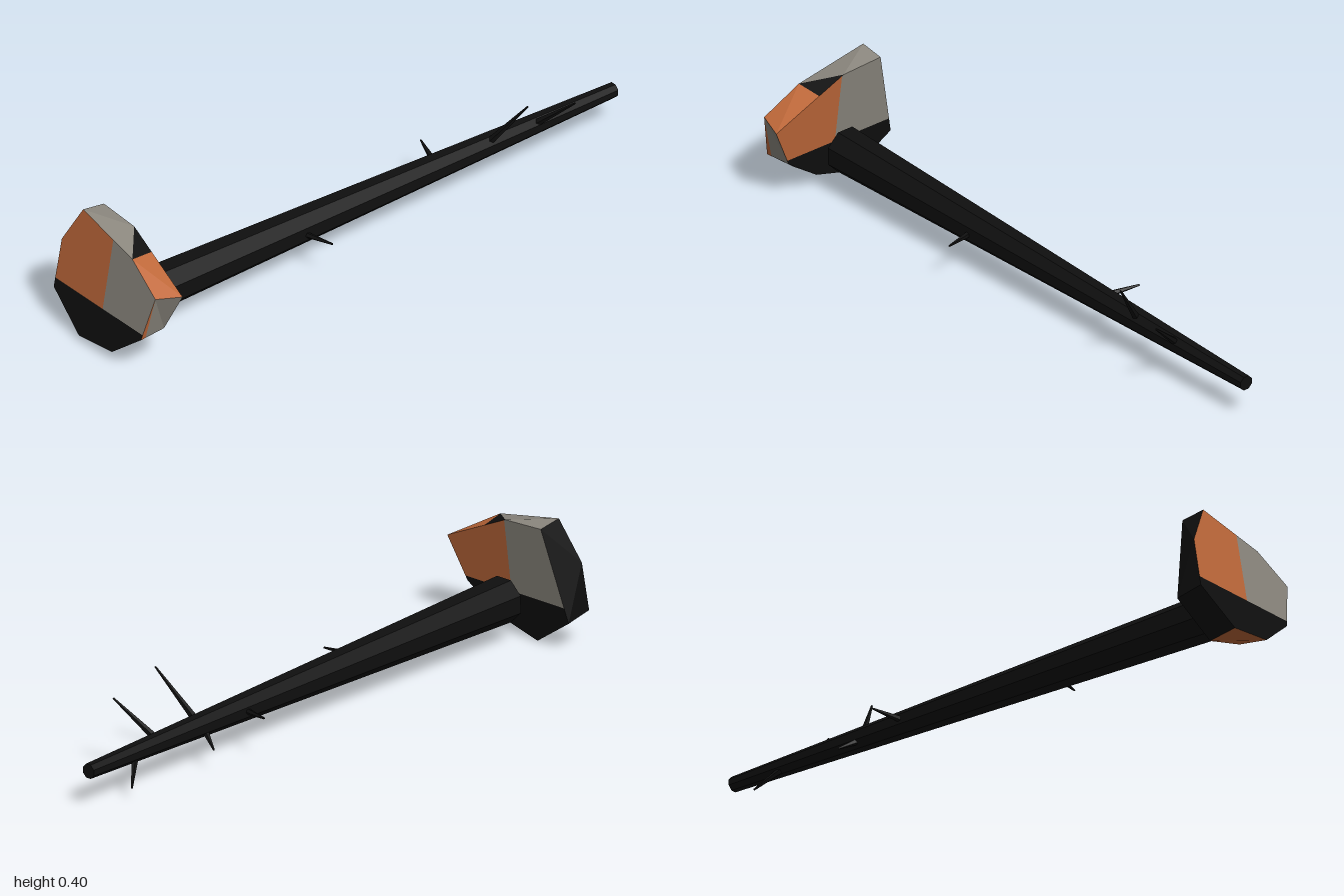
import * as THREE from 'three';

const mat = (name, color) => {
  const m = new THREE.MeshStandardMaterial({ color });
  m.name = name;
  return m;
};

export function createModel() {
  const group = new THREE.Group();
  const orange = mat('rust orange', 0xc0693a);
  const grey = mat('stone grey', 0x8c887f);
  const black = mat('charcoal black', 0x0f0f0f);

  // Slab corners lie on two leaning planes, given as (z, y)
  const front = (z, y) => new THREE.Vector3(-0.905 + 0.14 * y, y, z);
  const back = (z, y) => new THREE.Vector3(-1.003 + 0.18 * y, y, z);
  const A = front(0.235, 0.265), B = front(-0.015, 0.385), C = front(-0.16, 0.393);
  const E = front(-0.235, 0.097), F = front(-0.097, 0.002), G = front(0.05, 0.045), H = front(0.17, 0.13);
  const A2 = back(0.21, 0.278), B2 = back(0.085, 0.353), C2 = back(-0.16, 0.405), D2 = back(-0.232, 0.275);
  const E2 = back(-0.235, 0.115), F2 = back(-0.095, 0.018), G2 = back(0.058, 0.034), H2 = back(0.175, 0.127);
  const P = A.clone().lerp(B, 0.64);
  const M = H2.clone().lerp(H, 0.2);

  // Keep the part of a convex polygon on one side of an axis-aligned plane
  const clip = (poly, axis, value, sign) => {
    const out = [];
    poly.forEach((p, i) => {
      const q = poly[(i + 1) % poly.length];
      const dp = (p[axis] - value) * sign, dq = (q[axis] - value) * sign;
      if (dp >= 0) out.push(p);
      if (dp * dq < 0) out.push(p.clone().lerp(q, dp / (dp - dq)));
    });
    return out;
  };

  // Collect fan-triangulated faces per colour, always facing outward
  const centre = new THREE.Vector3(-0.93, 0.2, 0);
  const faces = new Map([[orange, []], [grey, []], [black, []]]);
  const face = (material, poly) => {
    for (let i = 1; i < poly.length - 1; i++) {
      let [a, b, c] = [poly[0], poly[i], poly[i + 1]];
      const n = b.clone().sub(a).cross(c.clone().sub(a));
      const mid = a.clone().add(b).add(c).divideScalar(3).sub(centre);
      if (n.dot(mid) < 0) [b, c] = [c, b];
      for (const p of [a, b, c]) faces.get(material).push(p.x, p.y, p.z);
    }
  };

  // Broad faces: two colours above, black below
  const broad = (poly, plusZ, minusZ) => {
    const top = clip(poly, 'y', 0.145, 1);
    face(black, clip(poly, 'y', 0.145, -1));
    face(plusZ, clip(top, 'z', -0.01, 1));
    face(minusZ, clip(top, 'z', -0.01, -1));
  };
  broad([A, B, C, E, F, G, H], orange, grey);
  broad([A2, B2, C2, D2, E2, F2, G2, H2], grey, orange);

  // Rim
  face(orange, [A, P, B2, A2]);
  face(black, [P, B, B2]);
  face(grey, [B, C, C2, B2]);
  face(black, [C, D2, C2]);
  face(black, [C, E, D2]);
  face(black, [E, E2, D2]);
  face(black, [E, F, F2, E2]);
  face(orange, [F, G, G2, F2]);
  face(grey, [G, H, H2, G2]);
  face(grey, [H, A, A2, M]);
  face(orange, [M, A2, H2]);

  const slab = new THREE.Group();
  slab.name = 'slab';
  for (const [material, positions] of faces) {
    const g = new THREE.BufferGeometry();
    g.setAttribute('position', new THREE.Float32BufferAttribute(positions, 3));
    g.computeVertexNormals();
    const mesh = new THREE.Mesh(g, material);
    mesh.name = `${material.name} slab faces`;
    slab.add(mesh);
  }
  group.add(slab);

  // Tapered faceted rod between two points
  const rod = (name, from, to, r0, r1, sides, turn = 0) => {
    const a = new THREE.Vector3(...from), b = new THREE.Vector3(...to);
    const dir = b.clone().sub(a);
    const g = new THREE.CylinderGeometry(r1, r0, dir.length(), sides).rotateY(turn).toNonIndexed();
    g.computeVertexNormals();
    const mesh = new THREE.Mesh(g, black);
    mesh.name = name;
    mesh.position.copy(a).add(b).multiplyScalar(0.5);
    mesh.quaternion.setFromUnitVectors(new THREE.Vector3(0, 1, 0), dir.normalize());
    group.add(mesh);
  };
  rod('trunk', [-0.845, 0.132, -0.016], [1, 0.118, -0.018], 0.073, 0.024, 8, Math.PI / 8);

  // Bare twigs: base x, tip
  const twigs = [
    [-0.235, [-0.2, 0.127, 0.125]],
    [0.32, [0.36, 0.135, -0.145]],
    [0.495, [0.53, 0.07, -0.097]],
    [0.505, [0.567, 0.295, 0.107]],
    [0.685, [0.742, 0.242, 0.117]],
    [0.79, [0.872, 0.042, -0.077]],
  ];
  for (const [x, tip] of twigs) rod('twig', [x, 0.121, -0.017], tip, 0.013, 0.003, 5);

  return group;
}
